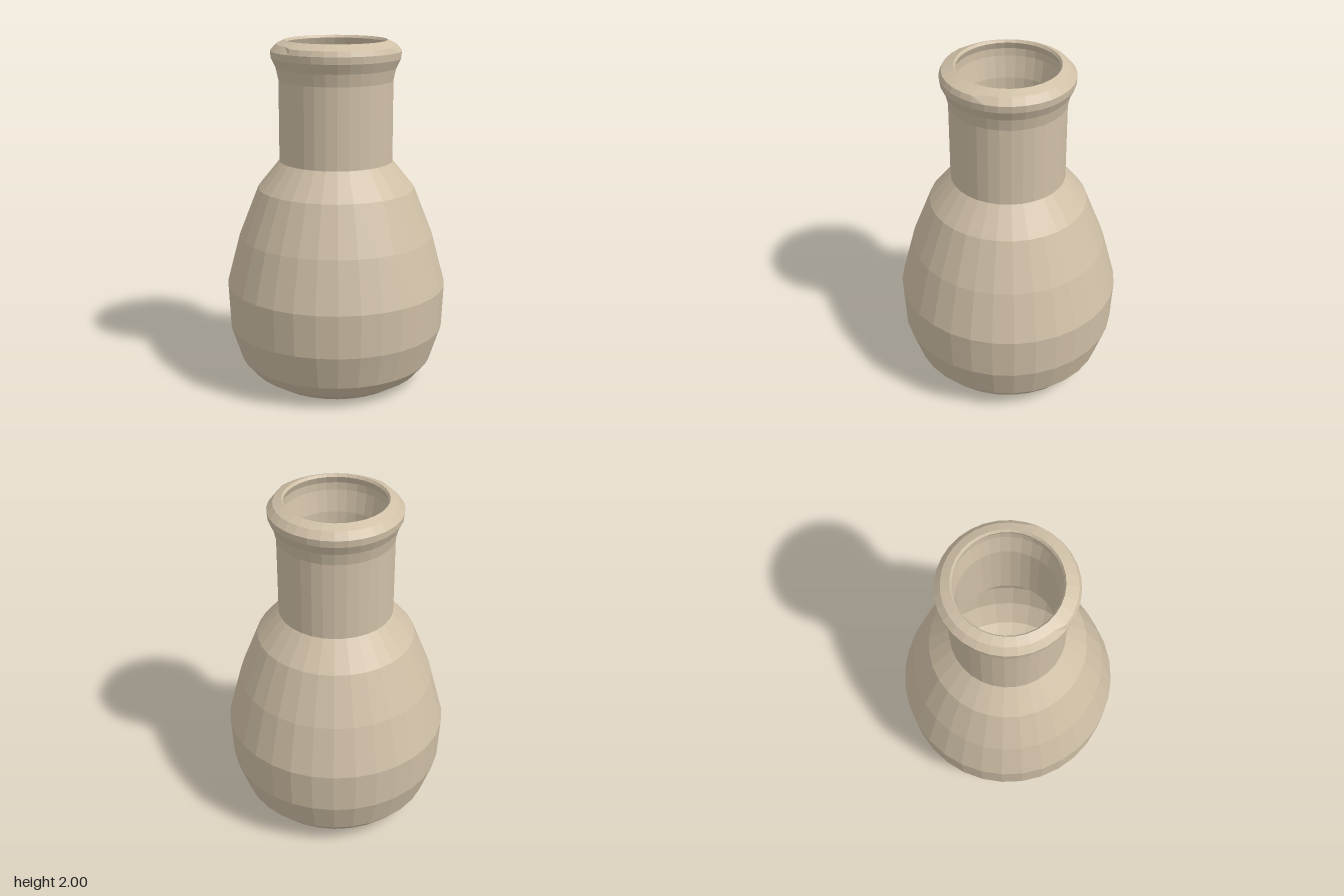
import * as THREE from 'three';

const SIDES = 32;

export function createModel() {
  const group = new THREE.Group();
  const clay = new THREE.MeshStandardMaterial({ color: 0xd0c0a7 });
  clay.name = 'clay';

  // Faceted ring of surface turned from [radius, height] pairs
  function turned(name, profile, reshape) {
    const lathe = new THREE.LatheGeometry(profile.map(([r, y]) => new THREE.Vector2(r, y)), SIDES);
    if (reshape) reshape(lathe.attributes.position);
    const geometry = lathe.toNonIndexed();
    geometry.computeVertexNormals();
    const mesh = new THREE.Mesh(geometry, clay);
    mesh.name = name;
    group.add(mesh);
  }

  // Foot and rounded belly, up to the shoulder
  turned('base', [[0, 0], [0.39, 0]]);
  turned('body', [
    [0.39, 0], [0.495, 0.065], [0.56, 0.14], [0.625, 0.34], [0.637, 0.59],
    [0.56, 0.88], [0.45, 1.16], [0.325, 1.315],
  ]);

  // Straight neck flaring into the lip
  turned('neck', [[0.325, 1.315], [0.325, 1.775], [0.341, 1.845], [0.367, 1.9]]);

  // Lip, slightly squarer on its front right quarter
  turned('lip', [[0.367, 1.9], [0.371, 1.94], [0.338, 1.978], [0.29, 2], [0.28, 1.985]], (p) => {
    for (let i = 0; i < p.count; i++) {
      const x = p.getX(i), z = p.getZ(i);
      if (Math.abs(p.getY(i) - 1.978) < 0.001 && x < 0.07 && z > -0.01) {
        p.setXYZ(i, x * 1.06, 1.97, z * 1.06);
      }
    }
  });

  // Hollow inside, from the mouth down to the floor
  turned('inside', [
    [0.28, 1.985], [0.296, 1.945], [0.296, 1.9], [0.274, 1.775], [0.274, 1.33],
    [0.4, 1.14], [0.51, 0.86], [0.585, 0.58], [0.575, 0.35], [0.51, 0.17],
    [0.37, 0.05], [0, 0.05],
  ]);

  return group;
}
